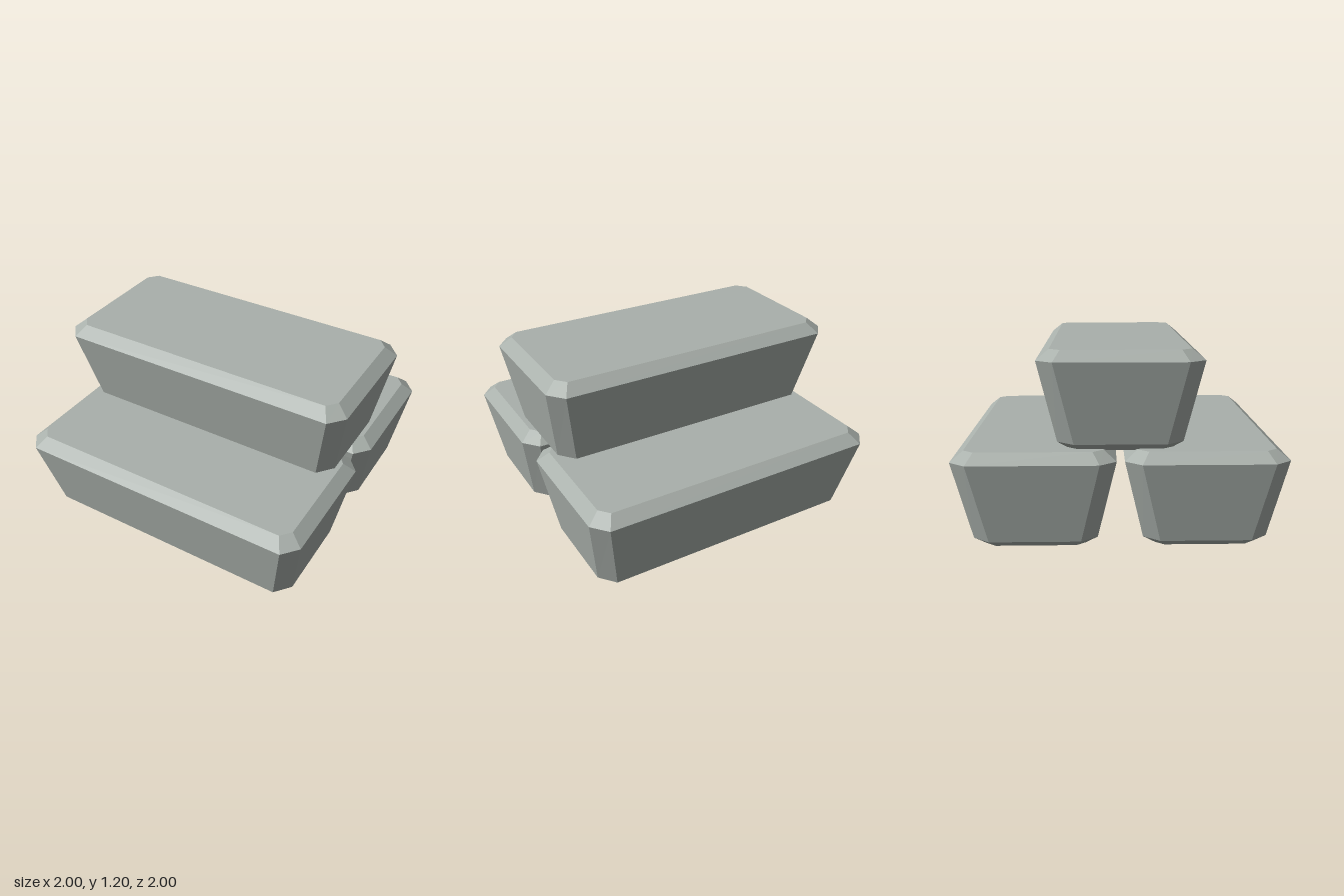
import * as THREE from 'three';

// Horizontal octagon: half length, half depth, corner cuts along x and z
function ring({ y, hx, hz, cx, cz }) {
  return [
    [hx, -hz + cz], [hx, hz - cz], [hx - cx, hz], [-hx + cx, hz],
    [-hx, hz - cz], [-hx, -hz + cz], [-hx + cx, -hz], [hx - cx, -hz],
  ].map(([x, z]) => new THREE.Vector3(x, y, z));
}

// Tapered bar with chamfered corners and bevelled top and bottom rims
function barGeometry() {
  const rings = [
    { y: 0, hx: 0.84, hz: 0.30, cx: 0.045, cz: 0.055 },
    { y: 0.05, hx: 0.913, hz: 0.375, cx: 0.083, cz: 0.1 },
    { y: 0.543, hx: 1, hz: 0.488, cx: 0.085, cz: 0.1 },
    { y: 0.605, hx: 0.925, hz: 0.412, cx: 0.055, cz: 0.065 },
  ].map(ring);
  const points = [];

  // Side bands
  for (let i = 0; i < rings.length - 1; i++) {
    for (let j = 0; j < 8; j++) {
      const k = (j + 1) % 8;
      const a = rings[i][j], b = rings[i][k];
      const c = rings[i + 1][j], d = rings[i + 1][k];
      points.push(a, c, b, b, c, d);
    }
  }

  // Flat bottom and top
  const bottom = rings[0], top = rings[rings.length - 1];
  for (let j = 1; j < 7; j++) {
    points.push(bottom[0], bottom[j], bottom[j + 1]);
    points.push(top[0], top[j + 1], top[j]);
  }

  // Unshared vertices keep every facet flat
  const geometry = new THREE.BufferGeometry().setFromPoints(points);
  geometry.computeVertexNormals();
  return geometry;
}

export function createModel() {
  const group = new THREE.Group();
  group.name = 'ingotStack';
  const metal = new THREE.MeshStandardMaterial({ color: 0xa9b0ab });
  metal.name = 'paleGreyMetal';
  const geometry = barGeometry();

  // Two bars side by side, one resting across the gap
  const bars = [
    ['frontIngot', 0, 0.512],
    ['backIngot', 0, -0.512],
    ['topIngot', 0.595, 0],
  ];
  for (const [name, y, z] of bars) {
    const bar = new THREE.Mesh(geometry, metal);
    bar.name = name;
    bar.position.set(0, y, z);
    group.add(bar);
  }
  return group;
}
